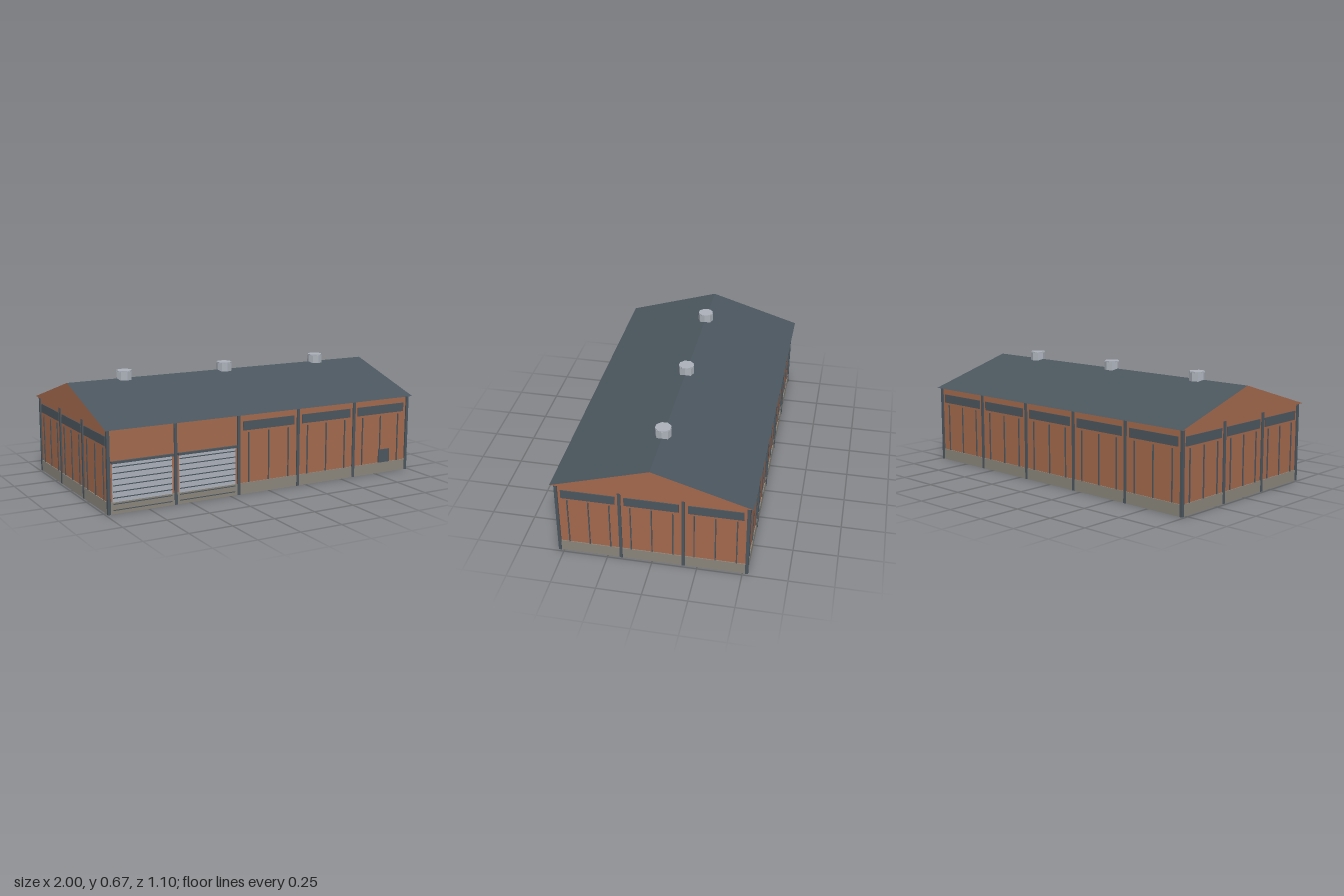
import * as THREE from 'three';

const mat = (name, color) => {
  const m = new THREE.MeshStandardMaterial({ color });
  m.name = name;
  return m;
};

export function createModel() {
  const brick = mat('brick', 0xa4694d);
  const slate = mat('slate', 0x4b565e);
  const concrete = mat('concrete', 0x8a867c);
  const metal = mat('metal', 0xacb1ba);

  const model = new THREE.Group();
  model.name = 'warehouse';

  const W = 1.96, D = 1.046, EAVE = 0.459, RIDGE = 0.626, PLINTH = 0.065;

  const box = (parent, name, material, w, h, d, x, y, z) => {
    const mesh = new THREE.Mesh(new THREE.BoxGeometry(w, h, d), material);
    mesh.name = name;
    mesh.position.set(x, y, z);
    parent.add(mesh);
    return mesh;
  };

  // Main body and base, both standing on the ground
  box(model, 'walls', brick, W, EAVE, D, 0, EAVE / 2, 0);
  box(model, 'plinth', concrete, W + 0.01, PLINTH, D + 0.01, 0, PLINTH / 2, 0);

  // Roof prism: brick gable ends, slate slopes and soffit
  const gable = new THREE.Shape([
    new THREE.Vector2(-0.55, EAVE),
    new THREE.Vector2(0.55, EAVE),
    new THREE.Vector2(0, RIDGE),
  ]);
  const roofGeo = new THREE.ExtrudeGeometry(gable, { depth: 2, bevelEnabled: false });
  roofGeo.translate(0, 0, -1).rotateY(Math.PI / 2);
  const roof = new THREE.Mesh(roofGeo, [brick, slate]);
  roof.name = 'roof';
  model.add(roof);

  // Ridge ventilators: octagonal body with a turned octagonal cap
  const octagon = (name, height, x, y, turn) => {
    const geo = new THREE.CylinderGeometry(0.046, 0.046, height, 8).toNonIndexed();
    geo.computeVertexNormals();
    const mesh = new THREE.Mesh(geo, metal);
    mesh.name = name;
    mesh.position.set(x, y, 0);
    mesh.rotation.y = turn;
    model.add(mesh);
  };
  for (const x of [-0.653, 0, 0.653]) {
    octagon('ridgeVentBody', 0.05, x, 0.642, 0);
    octagon('ridgeVentCap', 0.008, x, 0.668, Math.PI / 8);
  }

  // Strip window and three battens in one bay of a wall facing +z
  const panelBay = (side, x, bay) => {
    box(side, 'stripWindow', slate, bay * 0.86, 0.052, 0.008, x, 0.393, 0.001);
    for (const k of [-1, 0, 1]) {
      box(side, 'batten', slate, 0.0065, 0.354 - PLINTH, 0.01, x + k * bay / 3, (0.354 + PLINTH) / 2, 0);
    }
  };

  // Roller door with ribs and a projecting head
  const doorBay = (side, x) => {
    box(side, 'rollerDoor', metal, 0.35, 0.278, 0.008, x, 0.141, 0);
    for (let i = 1; i <= 8; i++) {
      box(side, 'doorRib', slate, 0.345, 0.005, 0.014, x, i * 0.0335 - 0.012, 0);
    }
    box(side, 'doorHead', slate, 0.364, 0.012, 0.03, x, 0.282, 0);
  };

  // Each wall is a group whose origin lies in the wall plane
  const wall = (name, bays, length, angle, distance, doors) => {
    const side = new THREE.Group();
    side.name = name;
    side.rotation.y = angle;
    side.position.set(Math.sin(angle) * distance, 0, Math.cos(angle) * distance);
    const bay = length / bays;
    for (let i = 0; i < bays; i++) {
      const x = -length / 2 + bay * (i + 0.5);
      if (i < doors) doorBay(side, x);
      else panelBay(side, x, bay);
      if (i > 0) box(side, 'column', slate, 0.017, EAVE, 0.016, x - bay / 2, EAVE / 2, 0);
    }
    model.add(side);
    return side;
  };
  const front = wall('frontWall', 5, W, 0, D / 2, 2);
  wall('backWall', 5, W, Math.PI, D / 2, 0);
  wall('leftWall', 3, D, Math.PI / 2, W / 2, 0);
  wall('rightWall', 3, D, -Math.PI / 2, W / 2, 0);

  // Service hatch on the front
  box(front, 'serviceHatch', slate, 0.08, 0.08, 0.014, 0.815, 0.105, 0);

  // Corner columns
  for (const sx of [-1, 1]) {
    for (const sz of [-1, 1]) {
      box(model, 'cornerColumn', slate, 0.017, EAVE, 0.017, sx * W / 2, EAVE / 2, sz * D / 2);
    }
  }
  return model;
}
